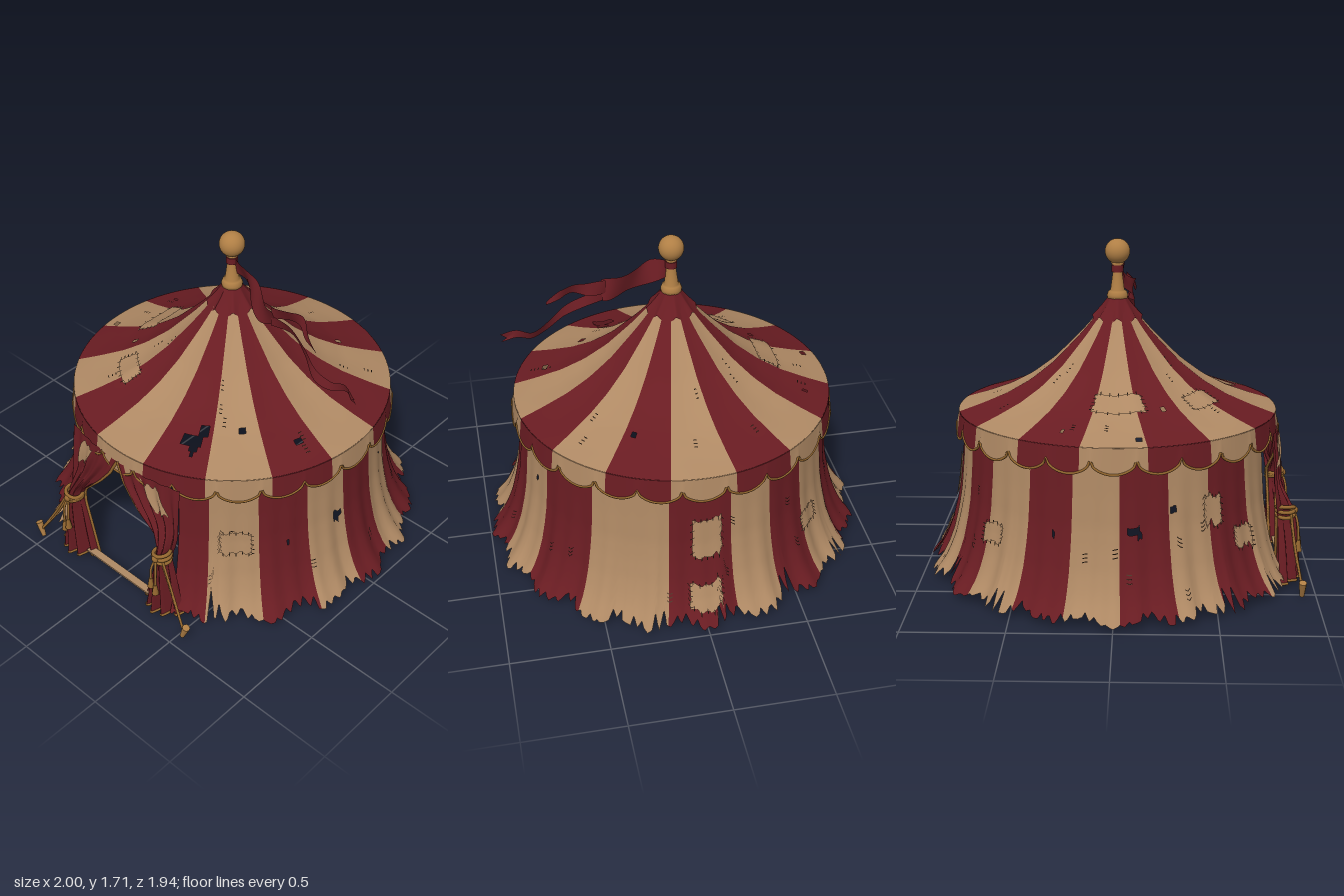
import * as THREE from 'three';
import { mergeGeometries } from 'three/addons/utils/BufferGeometryUtils.js';

const mat = (name, color) => new THREE.MeshStandardMaterial({ name, color, side: THREE.DoubleSide });
const RAD = Math.PI / 180;
const hash = i => { const s = Math.sin(i * 127.1 + 3.7) * 43758.5453; return s - Math.floor(s); };
const V = (x, y, z) => new THREE.Vector3(x, y, z);
const polar = (az, r, y) => V(Math.sin(az) * r, y, Math.cos(az) * r);

// Linear lookup in a table of [key, value, value...] rows with ascending keys
function lookup(rows, k) {
  let i = 0;
  while (i < rows.length - 2 && k > rows[i + 1][0]) i++;
  const a = rows[i], b = rows[i + 1], t = THREE.MathUtils.clamp((k - a[0]) / (b[0] - a[0]), 0, 1);
  return a.map((v, j) => v + (b[j] - v) * t);
}

// Grid surface from a point function; cells failing keep() are left out
function sheet(f, nu, nv, keep = () => true) {
  const pos = [], idx = [], w = nv + 1;
  for (let i = 0; i <= nu; i++) for (let j = 0; j <= nv; j++) pos.push(...f(i / nu, j / nv).toArray());
  for (let i = 0; i < nu; i++) for (let j = 0; j < nv; j++) {
    if (!keep((i + 0.5) / nu, (j + 0.5) / nv)) continue;
    const a = i * w + j, b = a + w;
    idx.push(a, a + 1, b, b, a + 1, b + 1);
  }
  const g = new THREE.BufferGeometry();
  g.setAttribute('position', new THREE.Float32BufferAttribute(pos, 3));
  g.setIndex(idx);
  g.computeVertexNormals();
  return g;
}

// Roof: t runs from the peak to the eave, panels sag between seams
const ROOF = [[0.05, 1.4], [0.1, 1.335], [0.15, 1.275], [0.2, 1.22], [0.33, 1.09], [0.45, 1.0], [0.57, 0.935], [0.7, 0.885], [0.82, 0.845]];
function roofAt(az, t, off = 0) {
  const r = 0.05 + 0.77 * t, sag = Math.abs(Math.cos(8 * az)) * Math.sin(Math.PI * t) * 0.012;
  return polar(az, r + off * 0.6, lookup(ROOF, r)[1] - sag + off * 0.8);
}

// Wall: t runs from the eave to the ragged hem
const WALL = [[0.0, 1.0], [0.05, 0.965], [0.1, 0.925], [0.16, 0.893], [0.24, 0.862], [0.35, 0.835], [0.45, 0.817], [0.6, 0.803], [0.8, 0.79]];
function hem(az) {
  const k = az / (2 * Math.PI) * 110, i = Math.floor(k), tooth = Math.abs(k - i - 0.5) * 2;
  return 0.022 + tooth * (hash(i) * 0.055 + (hash(i + 50) > 0.9 ? 0.1 : 0)) + 0.03 * (1 - Math.abs(Math.cos(10 * az)));
}
function wallAt(az, t, off = 0) {
  const y = 0.8 + (hem(az) - 0.8) * t;
  const fold = t * t * 0.012 * Math.sin(20 * az + 1) + t * 0.006 * Math.sin(47 * az);
  return polar(az, lookup(WALL, y)[1] + fold + off, y);
}
// Uneven wall stripes, red first, changing colour at each seam (degrees)
const SEAMS = [35, 52, 70, 86, 102, 118, 140, 168, 190, 206, 222, 240, 256, 272, 289, 304, 322];
const wallIsRed = az => SEAMS.filter(s => s * RAD <= az).length % 2 === 0;

// Keeps cells that lie outside the torn holes [azimuth, t, size]
const clearOf = (surf, holes) => {
  const list = holes.map(([a, t, s]) => [surf(a * RAD, t), s]);
  return p => list.every(([c, s]) => p.distanceTo(c) > s * (1 + 0.3 * Math.sin(p.x * 90 + p.y * 70)));
};

const VALANCE = 24;
const scallop = az => 0.785 - 0.065 * Math.sqrt(Math.abs(Math.cos(VALANCE / 2 * az)));

// Half curtain rows: height, inner x, outer x, z of middle, fold depth
const CURTAIN = [
  [0.025, 0.19, 0.43, 0.875, 0.03], [0.2, 0.24, 0.39, 0.87, 0.022], [0.33, 0.28, 0.355, 0.865, 0.012],
  [0.39, 0.285, 0.355, 0.86, 0.008], [0.42, 0.275, 0.365, 0.855, 0.01], [0.48, 0.22, 0.375, 0.85, 0.012],
  [0.59, 0.12, 0.375, 0.842, 0.01], [0.68, 0.05, 0.375, 0.836, 0.008], [0.78, 0.0, 0.375, 0.825, 0.003]];
function curtainAt(side, u, v) {
  const [y, xi, xo, z, fold] = lookup(CURTAIN, 0.78 - 0.755 * v);
  const x = xi + (xo - xi) * u;
  const follow = (Math.sqrt(0.69 - x * x) - 0.83) * 0.6;
  const blend = THREE.MathUtils.smoothstep(v, 0.3, 0.55);
  const bulge = Math.sin(Math.PI * u) * 0.085 - 0.05;
  return V(side * x, y, z + follow * (1 - blend) + blend * bulge + fold * Math.sin(u * Math.PI * 9));
}

export function createModel() {
  const tent = new THREE.Group();
  tent.name = 'stripedTent';
  const red = mat('red cloth', 0x691c22), cream = mat('cream cloth', 0xaf8964), gold = mat('gold rope', 0x94672f);
  const wood = mat('polished wood', 0xb07f45), thread = mat('dark thread', 0x4c3a2b);
  const add = (name, geo, material, parent = tent) => {
    const m = new THREE.Mesh(geo, material);
    m.name = name;
    parent.add(m);
    return m;
  };
  const tube = (pts, r, n = 24, closed = false) =>
    new THREE.TubeGeometry(new THREE.CatmullRomCurve3(pts, closed), n, r, 6, closed);

  // Striped roof and walls, one mesh per colour
  const roofAz = u => (u * 360 - 11.25) * RAD, wallAz = u => (24 + u * 312) * RAD;
  const roofClear = clearOf(roofAt, [[26, 0.76, 0.05], [29, 0.68, 0.03], [71, 0.8, 0.018], [-81, 0.92, 0.02],
    [-64, 0.63, 0.015], [-111, 0.85, 0.015], [48, 0.67, 0.013], [5, 0.93, 0.014], [150, 0.7, 0.012]]);
  const wallClear = clearOf(wallAt, [[83, 0.48, 0.026], [277, 0.48, 0.03], [62, 0.55, 0.014], [112, 0.3, 0.012],
    [250, 0.5, 0.013], [290, 0.35, 0.013]]);
  [cream, red].forEach((m, c) => {
    const label = c ? 'Red' : 'Cream';
    add('roof' + label, sheet((u, v) => roofAt(roofAz(u), v), 320, 28,
      (u, v) => Math.floor(u * 16) % 2 === c && roofClear(roofAt(roofAz(u), v))), m);
    add('wall' + label, sheet((u, v) => wallAt(wallAz(u), v), 468, 24,
      (u, v) => wallIsRed(wallAz(u)) === (c === 1) && wallClear(wallAt(wallAz(u), v))), m);
    add('valance' + label, sheet((u, v) => {
      const az = roofAz(u);
      return polar(az, 0.818 + 0.014 * v, 0.847 + (scallop(az) - 0.847) * v);
    }, 384, 3, u => Math.floor(u * 16) % 2 === c), m);
  });
  // Pale lining inside the back wall
  add('backLining', sheet((u, v) => wallAt((163 + 34 * u) * RAD, 0.03 + 0.94 * v, -0.006), 51, 24), cream);
  const trim = [];
  for (let i = 0; i < 384; i++) { const a = i / 384 * 2 * Math.PI; trim.push(polar(a, 0.831, scallop(a))); }
  add('valanceTrim', tube(trim, 0.0065, 480, true), gold);

  // Peak: ragged cap, pole, collar and ball
  add('peakCap', sheet((u, v) => polar(u * 2 * Math.PI, 0.042 + 0.085 * v * (0.8 + 0.2 * v),
    1.425 - v * (0.1 + 0.03 * Math.abs(Math.sin(u * 25)))), 64, 4), red);
  const pole = [[0, 1.39], [0.05, 1.4], [0.054, 1.425], [0.046, 1.445], [0.036, 1.45], [0.024, 1.54], [0.024, 1.575], [0.034, 1.59], [0.02, 1.6]];
  add('pole', new THREE.LatheGeometry(pole.map(p => new THREE.Vector2(...p)), 24), wood);
  add('ball', new THREE.SphereGeometry(0.064, 32, 20).translate(0, 1.648, 0), wood);
  add('flagBand', new THREE.CylinderGeometry(0.03, 0.03, 0.035, 20).translate(0, 1.56, 0), red);

  // Flag: body and two wind-blown tails, points are x, y, z, width
  const ribbon = (name, rows, notch = 0) => {
    const curve = new THREE.CatmullRomCurve3(rows.map(r => V(r[0], r[1], r[2])));
    add(name, sheet((u, v) => {
      const p = curve.getPoint(u), k = u * (rows.length - 1), w = lookup(rows.map((r, i) => [i, r[3]]), k)[1];
      p.y += (v - 0.5) * w;
      p.x -= notch * Math.max(0, u - 0.85) * (1 - Math.abs(v - 0.5) * 2);
      p.z += (v - 0.5) * w * 0.4 * Math.sin(u * 8);
      return p;
    }, 40, 6), red);
  };
  ribbon('flagBody', [[0.02, 1.535, 0, 0.09], [0.1, 1.52, 0.015, 0.11], [0.18, 1.47, 0.04, 0.12], [0.27, 1.41, 0.075, 0.12], [0.34, 1.405, 0.07, 0.1]]);
  ribbon('flagUpperTail', [[0.32, 1.425, 0.07, 0.07], [0.41, 1.435, 0.04, 0.06], [0.49, 1.445, 0.045, 0.05], [0.55, 1.4, 0.075, 0.05], [0.62, 1.35, 0.09, 0.012]]);
  ribbon('flagLowerTail', [[0.32, 1.385, 0.07, 0.06], [0.43, 1.365, 0.05, 0.05], [0.53, 1.31, 0.07, 0.05], [0.62, 1.22, 0.09, 0.05],
    [0.7, 1.185, 0.07, 0.04], [0.78, 1.21, 0.06, 0.04], [0.86, 1.18, 0.08, 0.035]], 0.2);

  // Doorway: curtains, trims, ties, tassels, guy ropes and stakes
  for (const s of [1, -1]) {
    const door = new THREE.Group();
    door.name = s > 0 ? 'leftCurtain' : 'rightCurtain';
    tent.add(door);
    add('curtain', sheet((u, v) => curtainAt(s, u, v), 54, 30), red, door);
    const line = (n, f) => Array.from({ length: n + 1 }, (_, i) => f(i / n));
    add('innerTrim', tube(line(24, t => curtainAt(s, 0, t)), 0.008, 60), gold, door);
    add('bottomTrim', tube(line(40, t => curtainAt(s, t, 1)), 0.007, 80), gold, door);
    for (let i = 0; i < 3; i++) {
      const ring = new THREE.TorusGeometry(0.044, 0.01, 8, 24).rotateX(Math.PI / 2);
      ring.rotateZ(s * (i - 1) * 0.25).translate(s * 0.32, 0.365 + i * 0.018, 0.855);
      add('tieRope', ring, gold, door);
    }
    add('tieKnot', new THREE.SphereGeometry(0.02, 12, 8).translate(s * 0.32, 0.385, 0.9), gold, door);
    for (const [x, y] of [[0.305, 0.25], [0.335, 0.22]]) {
      add('tasselCord', tube([V(s * 0.32, 0.385, 0.9), V(s * x, 0.32, 0.918), V(s * x, y, 0.925)], 0.007), gold, door);
      add('tassel', new THREE.CylinderGeometry(0.009, 0.018, 0.06, 10).translate(s * x, y - 0.02, 0.925), gold, door);
    }
    for (const lift of [0, 0.025]) add('guyRope', tube([V(s * 0.34, 0.37 + lift, 0.88), V(s * 0.43, 0.2 + lift * 0.7, 0.9), V(s * 0.53, 0.045, 0.93)], 0.007), gold, door);
    const stake = add('stake', new THREE.CylinderGeometry(0.02, 0.012, 0.085, 8), wood, door);
    stake.position.set(s * 0.535, 0.043, 0.93);
    stake.rotation.z = -s * 0.35;
  }
  add('doorSill', new THREE.BoxGeometry(0.46, 0.01, 0.04).translate(0, 0.05, 0.86), cream);

  // Sewn patches [surface, azimuth, t, width, height]; wall patches show on both sides
  const patches = [[wallAt, 44, 0.49, 0.16, 0.13], [wallAt, -55, 0.4, 0.1, 0.15], [wallAt, -42, 0.62, 0.12, 0.11],
    [wallAt, 181, 0.42, 0.15, 0.22], [wallAt, 180, 0.83, 0.15, 0.13], [wallAt, 225, 0.6, 0.13, 0.1],
    [roofAt, -88, 0.58, 0.24, 0.13], [roofAt, -38, 0.62, 0.19, 0.11]];
  const stitches = [];
  patches.forEach(([surf, a, t, w, h], n) => {
    const isRoof = surf === roofAt, r = isRoof ? 0.05 + 0.77 * t : 0.84, len = isRoof ? 0.88 : 0.78;
    for (const side of isRoof ? [1] : [1, -1]) {
      const at = (x, y, off) => surf(a * RAD + x / r, t + y / len, off * side);
      add('patch', sheet((u, v) => {
        const rag = 1 + 0.1 * (hash(Math.round(u * 10) + Math.round(v * 10) * 13 + n) - 0.5);
        return at((u - 0.5) * w * rag, (v - 0.5) * h * rag, 0.009);
      }, 10, 10), cream);
      const stitch = (x, y, dx, dy) => stitches.push(sheet((u, v) =>
        at(x + (u - 0.5) * dx, y + (v - 0.5) * dy, 0.012), 2, 2));
      for (let k = -2; k <= 2; k++) for (const e of [-0.5, 0.5]) {
        stitch(k * w * 0.2, e * h, 0.005, 0.022);
        stitch(e * w, k * h * 0.2, 0.022, 0.005);
      }
    }
  });
  // Small mended tears along the cloth
  for (let i = 0; i < 34; i++) {
    const surf = i % 2 ? wallAt : roofAt, az = (32 + hash(i) * 296) * RAD, t = 0.3 + hash(i + 90) * 0.55;
    for (let k = 0; k < 3; k++) stitches.push(sheet((u, v) => surf(az + (u - 0.5) * 0.03, t + k * 0.025 + (v - 0.5) * 0.006, 0.007), 2, 1));
  }
  add('stitches', mergeGeometries(stitches), thread);

  // Cloth pieces sewn over the curtain tops
  for (const s of [1, -1]) add('curtainPatch', sheet((u, v) => {
    const p = curtainAt(s, 0.45 + 0.26 * u + 0.1 * v, 0.04 + 0.19 * v + 0.015 * Math.sin(u * 14));
    p.z += 0.009;
    return p;
  }, 16, 8), cream);
  return tent;
}
